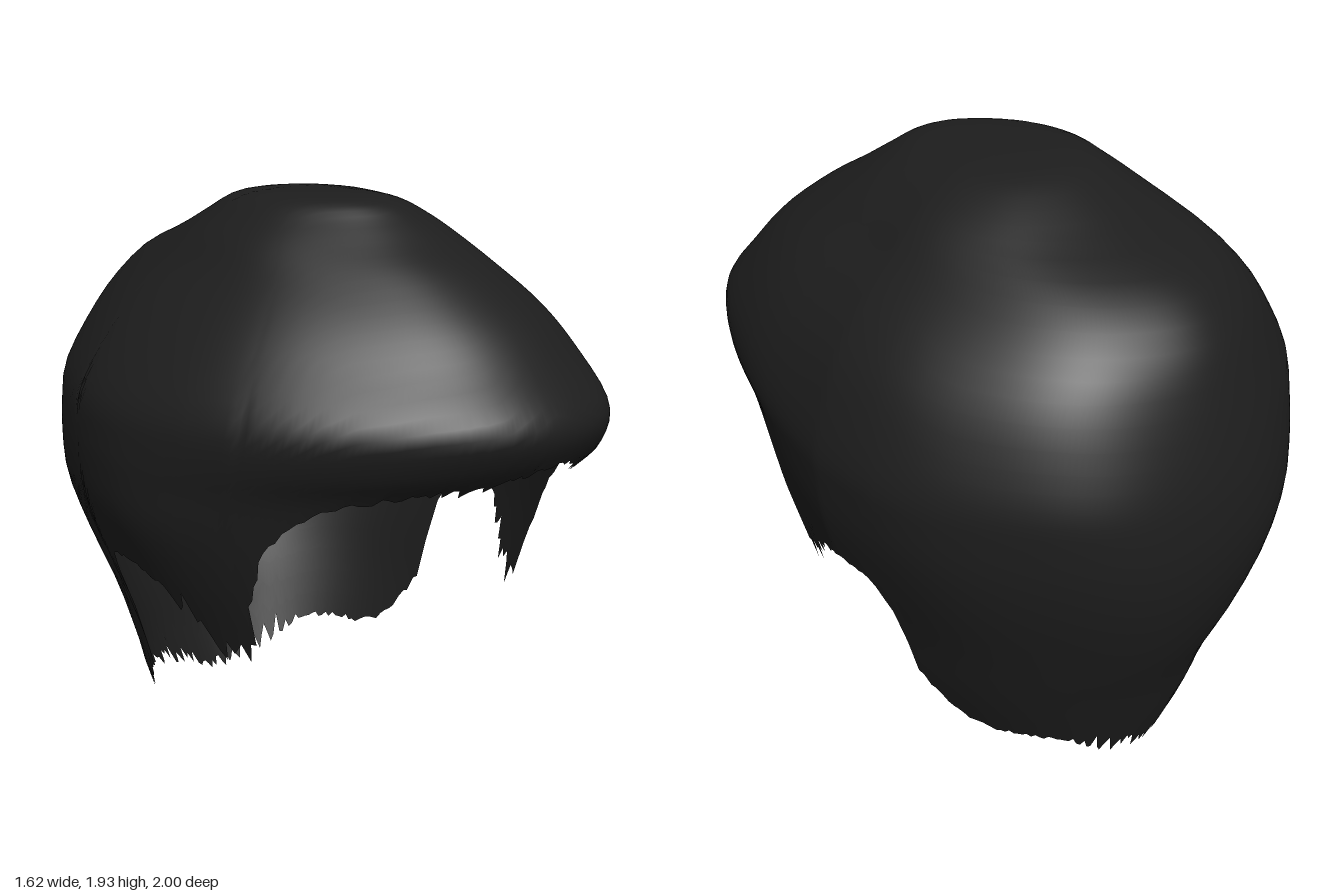
import * as THREE from 'three';

// Horizontal sections from crown to nape: y, half width, front reach, back reach, x centre
const SECTIONS = [
  [1.945, 0, 0, 0, -0.06], [1.94, 0.12, 0.21, 0.14, -0.07], [1.92, 0.23, 0.33, 0.26, -0.05],
  [1.87, 0.32, 0.41, 0.37, -0.03], [1.81, 0.40, 0.50, 0.50, -0.02], [1.73, 0.48, 0.63, 0.72, -0.01],
  [1.62, 0.60, 0.77, 0.84, 0], [1.5, 0.70, 0.88, 0.90, 0], [1.36, 0.775, 1.0, 0.95, -0.01],
  [1.24, 0.80, 0.96, 0.98, 0], [1.14, 0.80, 0.86, 0.995, 0], [1.0, 0.785, 0.80, 1.0, 0],
  [0.82, 0.73, 0.79, 0.975, 0.01], [0.6, 0.65, 0.77, 0.91, 0.02], [0.4, 0.595, 0.75, 0.83, 0.02],
  [0.2, 0.53, 0.7, 0.77, 0.01], [0.0, 0.42, 0.65, 0.70, 0.03],
];

// Hem round one side: degrees from the front, height, raggedness
const HEM = [
  [0, 1.24, 0.03], [15, 1.18, 0.03], [30, 1.16, 0.02], [42, 1.13, 0.01], [48, 1.08, 0.01],
  [54, 0.97, 0.02], [60, 0.80, 0.03], [62, 0.62, 0.08], [66, 0.61, 0.12], [71, 0.59, 0.14],
  [74, 0.70, 0.10], [79, 0.77, 0.06], [85, 0.82, 0.02], [91, 0.85, 0.01], [98, 0.84, 0.01],
  [102, 0.75, 0.03], [104, 0.55, 0.04], [105, 0.41, 0.04], [112, 0.27, 0.02], [119, 0.21, 0.02],
  [139, 0.19, 0.03], [150, 0.15, 0.07], [165, 0.09, 0.06], [180, 0.04, 0.04],
];

const COLUMNS = 288, ROWS = 36;

// Smooth section at a fractional index
function sectionAt(u) {
  const n = SECTIONS.length - 1;
  const i = Math.min(Math.floor(u), n - 1), t = u - i;
  const p = (k) => SECTIONS[Math.min(Math.max(k, 0), n)];
  return SECTIONS[0].map((_, c) => {
    const a = p(i - 1)[c], b = p(i)[c], d = p(i + 1)[c], e = p(i + 2)[c];
    return b + 0.5 * t * (d - a + t * (2 * a - 5 * b + 4 * d - e + t * (3 * (b - d) + e - a)));
  });
}

// Section index at a given height
function indexAtHeight(y) {
  let lo = 0, hi = SECTIONS.length - 1;
  for (let k = 0; k < 24; k++) {
    const mid = (lo + hi) / 2;
    if (sectionAt(mid)[0] > y) lo = mid; else hi = mid;
  }
  return lo;
}

function hemAt(deg) {
  let i = 0;
  while (i < HEM.length - 2 && HEM[i + 1][0] < deg) i++;
  const t = (deg - HEM[i][0]) / (HEM[i + 1][0] - HEM[i][0]);
  return [1, 2].map((c) => THREE.MathUtils.lerp(HEM[i][c], HEM[i + 1][c], t));
}

// Lopsided plan outline of unit half width: pinched at the front right, full at the back left
function planX(angle) {
  const sin = Math.sin(angle), cos = Math.cos(angle), c = Math.abs(cos);
  let fullness;
  if (cos > 0) fullness = sin > 0 ? 1 - 0.32 * c * (1 - c) : 1 - 0.2 * c * c;
  else fullness = sin > 0 ? 1 + 0.15 * c : 1 + 0.12 * c ** 4;
  return sin * fullness + (cos > 0 ? 0.08 : 0.04) * c ** 4;
}

function seeded(seed) {
  return () => {
    seed = (seed * 16807) % 2147483647;
    return seed / 2147483647;
  };
}

// One shell of hair combed from the crown down to a ragged hem
function hairGeometry() {
  const random = seeded(41);
  const positions = [], indices = [];
  for (let c = 0; c < COLUMNS; c++) {
    const angle = (c / COLUMNS) * Math.PI * 2;
    const deg = (c / COLUMNS) * 360;
    const [height, ragged] = hemAt(deg > 180 ? 360 - deg : deg);
    const smoothEnd = indexAtHeight(height);
    const tuft = (random() - 0.5) * 1.6 * ragged * (c % 2 ? 1 : 0.5);
    const raggedEnd = indexAtHeight(Math.max(height + tuft, 0.005));
    const cos = Math.cos(angle);
    for (let r = 0; r <= ROWS; r++) {
      const s = r / ROWS;
      const u = smoothEnd * s + (raggedEnd - smoothEnd) * s ** 14;
      const [y, w, front, back, cx] = sectionAt(u);
      // Faint waves in the combed surface
      const wave = 1 + 0.005 * Math.sin(angle * 9 + y * 3) * Math.sin(s * Math.PI);
      positions.push(cx + w * wave * planX(angle), y, cos * wave * (cos > 0 ? front : back));
    }
  }
  for (let c = 0; c < COLUMNS; c++) {
    for (let r = 0; r < ROWS; r++) {
      const a = c * (ROWS + 1) + r;
      const b = ((c + 1) % COLUMNS) * (ROWS + 1) + r;
      if (r > 0) indices.push(a, a + 1, b);
      indices.push(b, a + 1, b + 1);
    }
  }
  const geometry = new THREE.BufferGeometry();
  geometry.setAttribute('position', new THREE.Float32BufferAttribute(positions, 3));
  geometry.setIndex(indices);
  geometry.computeVertexNormals();
  // Crown points share one upright normal
  for (let c = 0; c < COLUMNS; c++) geometry.attributes.normal.setXYZ(c * (ROWS + 1), 0, 1, 0);
  return geometry;
}

export function createModel() {
  const black = new THREE.MeshStandardMaterial({ color: 0x1d1d1d, side: THREE.DoubleSide });
  black.name = 'softBlack';

  const hair = new THREE.Mesh(hairGeometry(), black);
  hair.name = 'hairShell';

  const model = new THREE.Group();
  model.name = 'hair';
  model.add(hair);
  return model;
}
